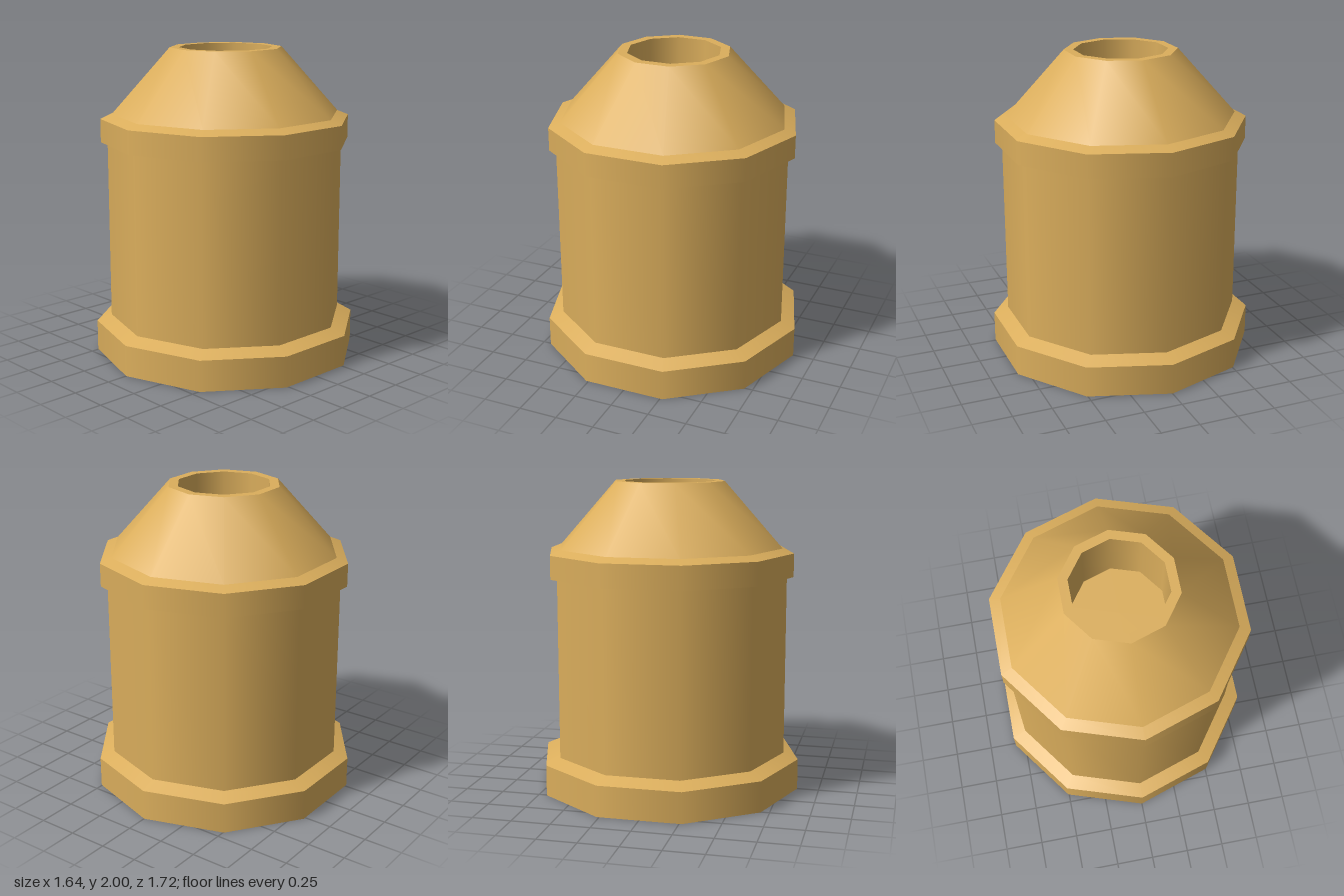
import * as THREE from 'three';

const SIDES = 10;

export function createModel() {
  const model = new THREE.Group();
  model.name = 'capTower';

  const gold = new THREE.MeshStandardMaterial({ color: 0xdbae5c, side: THREE.DoubleSide });
  gold.name = 'gold';

  // One ten-sided band between two profile points [radius, y]; edges between bands stay sharp
  const band = (name, from, to) => {
    const points = [new THREE.Vector2(...from), new THREE.Vector2(...to)];
    const mesh = new THREE.Mesh(new THREE.LatheGeometry(points, SIDES), gold);
    mesh.name = name;
    model.add(mesh);
  };

  // Hollow shell, open underneath, followed from the foot up and into the top opening
  const profile = [
    ['baseWall', [0.86, 0]],
    ['baseBevel', [0.86, 0.2]],
    ['body', [0.765, 0.24]],
    ['collarUnderside', [0.765, 1.4]],
    ['collarWall', [0.808, 1.4]],
    ['collarBevel', [0.808, 1.55]],
    ['coneRoof', [0.735, 1.58]],
    ['topRim', [0.36, 2]],
    ['openingWall', [0.3, 2]],
    ['openingFloor', [0.3, 1.58]],
    ['end', [0, 1.58]],
  ];
  for (let i = 0; i < profile.length - 1; i++) {
    band(profile[i][0], profile[i][1], profile[i + 1][1]);
  }

  return model;
}
